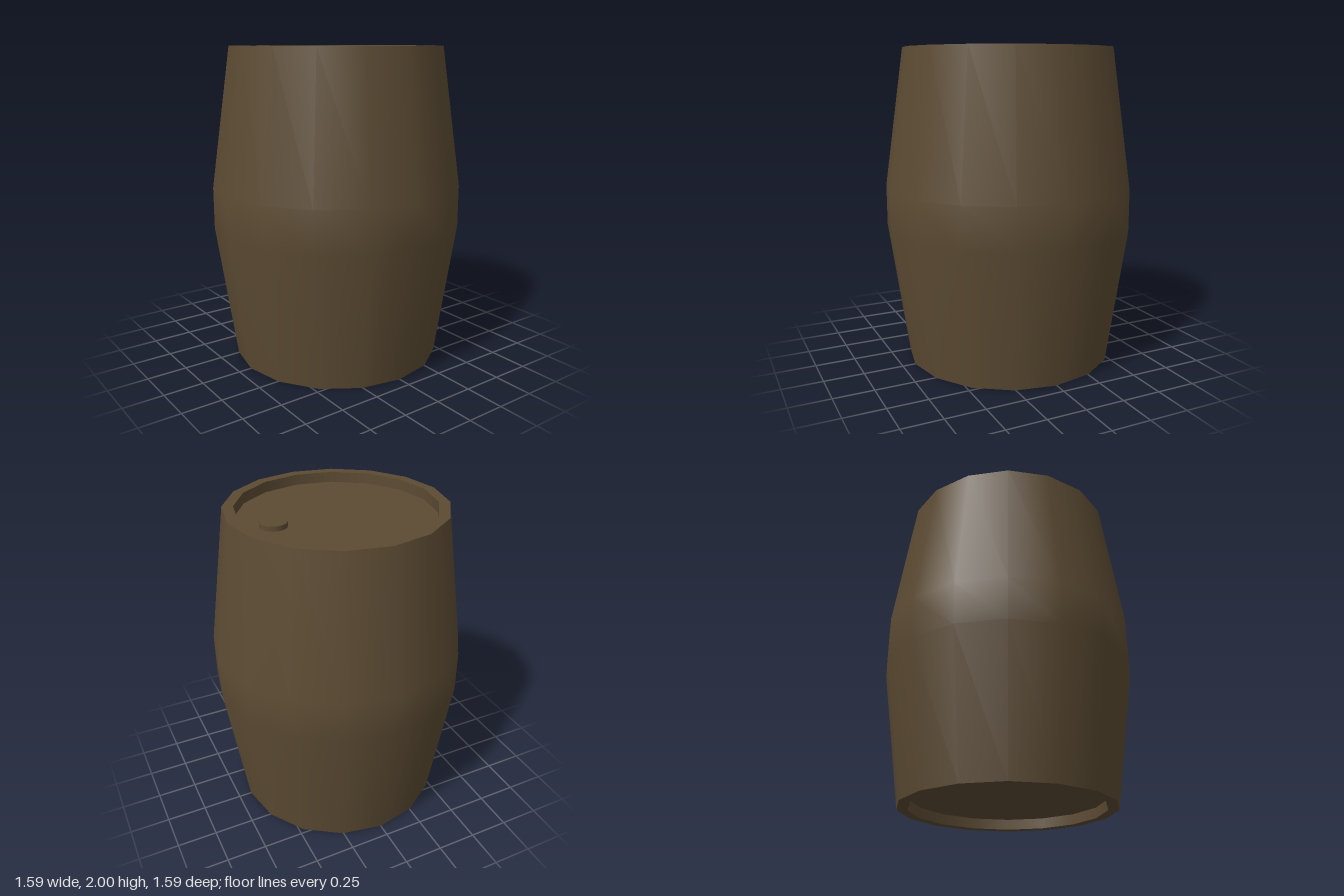
import * as THREE from 'three';

const SIDES = 16;

export function createModel() {
  const group = new THREE.Group();
  group.name = 'barrel';
  const wood = new THREE.MeshStandardMaterial({ color: 0x5c4b33 });
  wood.name = 'dark brown';

  // Each profile is its own smooth surface, so edges between profiles stay sharp
  const lathe = (name, points) => {
    const profile = points.map(([r, y]) => new THREE.Vector2(r, y));
    const mesh = new THREE.Mesh(new THREE.LatheGeometry(profile, SIDES), wood);
    mesh.name = name;
    group.add(mesh);
  };

  const R = 0.667, BELLY = 0.793, INNER = 0.6, DEPTH = 0.066;

  // Bulging outer wall
  lathe('barrelWall', [[R, 0], [BELLY, 0.87], [BELLY, 1.13], [R, 2]]);

  // Top rim, recess wall and lid
  lathe('topRim', [[R, 2], [INNER, 2]]);
  lathe('topRecess', [[INNER, 2], [INNER, 2 - DEPTH]]);
  lathe('lid', [[INNER, 2 - DEPTH], [0, 2 - DEPTH]]);

  // Bottom rim, recess wall and base
  lathe('base', [[0, DEPTH], [INNER, DEPTH]]);
  lathe('bottomRecess', [[INNER, DEPTH], [INNER, 0]]);
  lathe('bottomRim', [[INNER, 0], [R, 0]]);

  // Bung on the lid
  const bung = new THREE.Mesh(new THREE.CylinderGeometry(0.082, 0.082, 0.03, SIDES), wood);
  bung.name = 'bung';
  bung.position.set(0.397, 2 - DEPTH + 0.015, 0);
  group.add(bung);

  return group;
}
